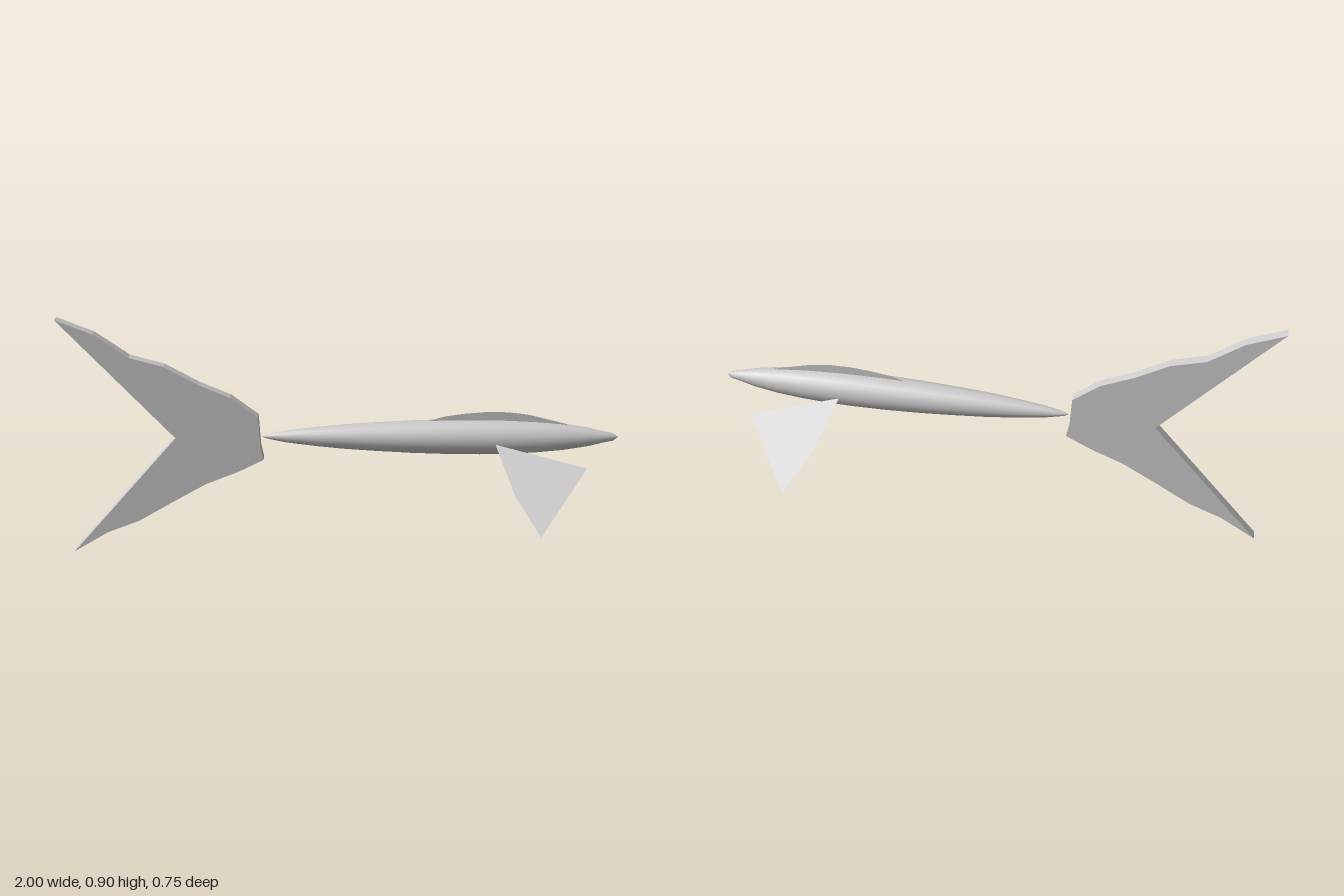
import * as THREE from 'three';

const AXIS_Y = 0.46;

function makeMesh(name, geometry, options = {}) {
  const material = new THREE.MeshStandardMaterial({ color: 0xcccccc, ...options });
  const mesh = new THREE.Mesh(geometry, material);
  mesh.name = name;
  return mesh;
}

const toShape = (points) => new THREE.Shape(points.map(([x, y]) => new THREE.Vector2(x, y)));

// Slender spindle, lathed and laid along x with the nose at +x
function createBody() {
  const profile = [
    [0, -0.29], [0.008, -0.27], [0.022, -0.2], [0.034, -0.1], [0.044, 0],
    [0.052, 0.12], [0.059, 0.25], [0.063, 0.38], [0.064, 0.5], [0.062, 0.6],
    [0.057, 0.7], [0.048, 0.8], [0.034, 0.89], [0.022, 0.94], [0.014, 0.98], [0, 1],
  ].map(([r, x]) => new THREE.Vector2(r, x));
  const geometry = new THREE.LatheGeometry(profile, 20);
  geometry.rotateZ(-Math.PI / 2);
  geometry.translate(0, AXIS_Y, 0);
  return makeMesh('body', geometry);
}

// Forked tail: a thick flat slab
function createTail() {
  const shape = toShape([
    [-1, 0.905], [-0.6, 0.46], [-1, 0], [-0.87, 0.08], [-0.75, 0.128],
    [-0.626, 0.203], [-0.497, 0.278], [-0.38, 0.326], [-0.284, 0.375],
    [-0.294, 0.425], [-0.3, 0.54], [-0.396, 0.615], [-0.51, 0.665],
    [-0.63, 0.733], [-0.75, 0.766], [-0.87, 0.852],
  ]);
  const geometry = new THREE.ExtrudeGeometry(shape, { depth: 0.038, bevelEnabled: false });
  geometry.translate(0, 0, -0.019);
  return makeMesh('tailFin', geometry, { flatShading: true });
}

// Low paper-thin fin along the back
function createDorsalFin() {
  const shape = toShape([
    [0.3, 0.5], [0.82, 0.49], [0.81, 0.51], [0.74, 0.528], [0.67, 0.546],
    [0.6, 0.555], [0.52, 0.556], [0.44, 0.549], [0.37, 0.538], [0.31, 0.52],
  ]);
  return makeMesh('dorsalFin', new THREE.ShapeGeometry(shape), { side: THREE.DoubleSide });
}

// Paper-thin side fin, drawn in plan (x, z) and sloping down away from the body
function createSideFin(side) {
  const shape = toShape([[0.55, 0.06], [0.868, 0.143], [0.682, 0.375], [0.605, 0.237]]);
  const geometry = new THREE.ShapeGeometry(shape);
  const position = geometry.attributes.position;
  for (let i = 0; i < position.count; i++) {
    const z = position.getY(i);
    position.setXYZ(i, position.getX(i), 0.454 - (z - 0.06) * 0.667, z * side);
  }
  geometry.computeVertexNormals();
  return makeMesh(side > 0 ? 'sideFinFront' : 'sideFinBack', geometry, { side: THREE.DoubleSide });
}

export function createModel() {
  const group = new THREE.Group();
  group.name = 'fish';
  group.add(createBody(), createTail(), createDorsalFin());
  for (const side of [1, -1]) group.add(createSideFin(side));
  return group;
}
